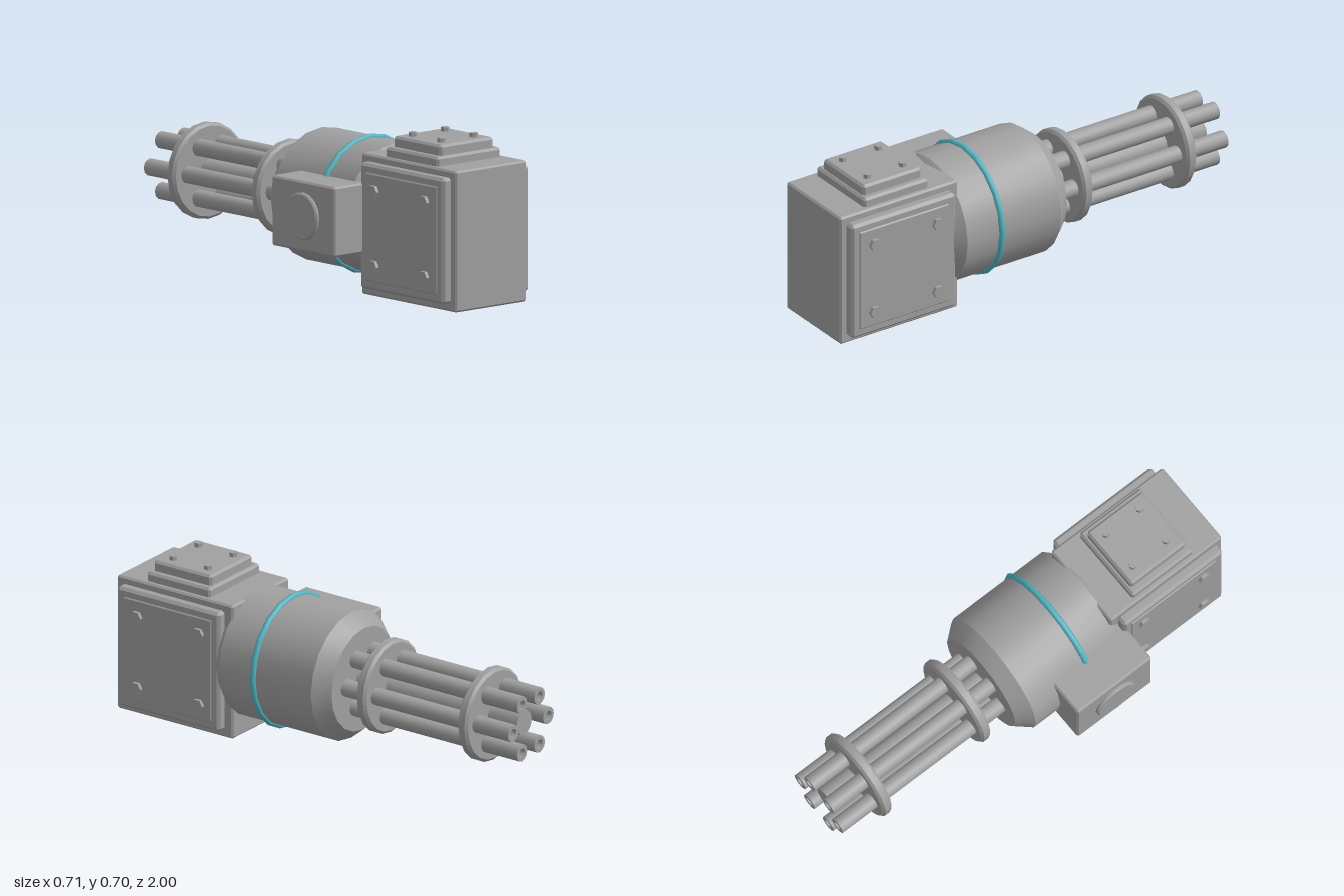
import * as THREE from 'three';
import { toCreasedNormals } from 'three/addons/utils/BufferGeometryUtils.js';
import { ConvexGeometry } from 'three/addons/geometries/ConvexGeometry.js';

const CX = 0.058, CY = 0.337; // barrel axis

// Box given by min/max corners, with every edge chamfered by c
function chamferBox(x0, x1, y0, y1, z0, z1, c) {
  const pts = [];
  for (const sx of [-1, 1]) for (const sy of [-1, 1]) for (const sz of [-1, 1]) {
    const x = sx < 0 ? x0 : x1, y = sy < 0 ? y0 : y1, z = sz < 0 ? z0 : z1;
    pts.push(
      new THREE.Vector3(x, y - sy * c, z - sz * c),
      new THREE.Vector3(x - sx * c, y, z - sz * c),
      new THREE.Vector3(x - sx * c, y - sy * c, z));
  }
  return new ConvexGeometry(pts);
}

// Solid of revolution about z from [radius, z] pairs, low z to high z
function turned(profile, sides) {
  const g = new THREE.LatheGeometry(profile.map(([r, z]) => new THREE.Vector2(r, z)), sides);
  return toCreasedNormals(g.rotateX(Math.PI / 2), 0.55);
}

export function createModel() {
  const model = new THREE.Group();
  model.name = 'rotaryGun';
  const metal = new THREE.MeshStandardMaterial({ color: 0xa0a0a0 });
  metal.name = 'grey metal';
  const teal = new THREE.MeshStandardMaterial({ color: 0x55b3c0 });
  teal.name = 'teal trim';

  const add = (name, geometry, x = 0, y = 0, z = 0, material = metal) => {
    const mesh = new THREE.Mesh(geometry, material);
    mesh.name = name;
    mesh.position.set(x, y, z);
    model.add(mesh);
    return mesh;
  };

  // Rear housing
  add('housing', chamferBox(-0.141, 0.257, 0, 0.6, 0.4, 1, 0.008));

  // Side plates with raised panels and hex bolts
  const sideBolt = new THREE.CylinderGeometry(0.0275, 0.0275, 0.03, 6);
  sideBolt.rotateZ(Math.PI / 2);
  for (const s of [-1, 1]) {
    const side = s > 0 ? 'left' : 'right';
    const slab = (a, b, m, c) => {
      const xs = [CX + s * a, CX + s * b].sort((p, q) => p - q);
      return chamferBox(xs[0], xs[1], 0.035 + m, 0.57 - m, 0.44 + m, 0.97 - m, c);
    };
    add(side + 'Plate', slab(0.19, 0.243, 0, 0.012));
    add(side + 'Panel', slab(0.225, 0.248, 0.034, 0.008));
    for (const y of [0.14, 0.46]) for (const z of [0.54, 0.86]) {
      add(side + 'Bolt', toCreasedNormals(sideBolt, 0.5), CX + s * 0.248, y, z);
    }
  }

  // Stepped top hatch
  add('hatchBase', chamferBox(-0.122, 0.236, 0.59, 0.64, 0.534, 0.862, 0.01));
  add('hatchLid', chamferBox(-0.091, 0.207, 0.63, 0.685, 0.55, 0.848, 0.01));
  const topBolt = toCreasedNormals(new THREE.CylinderGeometry(0.018, 0.018, 0.03, 6), 0.5);
  for (const x of [-0.09, 0.09]) for (const z of [-0.09, 0.09]) {
    add('hatchBolt', topBolt, CX + x, 0.688, 0.698 + z);
  }

  // Round motor body with trim ring
  add('body', turned([[0, -0.132], [0.228, -0.132], [0.283, -0.065],
    [0.283, 0.41], [0.238, 0.46], [0, 0.46]], 20), CX, CY);
  add('trimRing', new THREE.TorusGeometry(0.283, 0.014, 8, 20), CX, CY, 0.235, teal);

  // Drive box with round cap on the right side
  add('driveBox', chamferBox(-0.342, -0.12, 0.185, 0.483, 0.065, 0.46, 0.008));
  const cap = turned([[0, -0.02], [0.102, -0.02], [0.102, 0.01], [0.095, 0.017], [0, 0.017]], 16);
  add('driveCap', cap, -0.34, 0.335, 0.263).rotation.y = -Math.PI / 2;

  // Hollow barrels around a solid core
  const barrel = turned([[0, -0.94], [0.021, -0.94], [0.021, -1], [0.0375, -1], [0.0375, -0.1]], 12);
  for (let i = 0; i < 6; i++) {
    const a = i * Math.PI / 3;
    add('barrel', barrel, CX + 0.125 * Math.cos(a), CY + 0.125 * Math.sin(a));
  }
  add('core', turned([[0, -0.965], [0.055, -0.965], [0.055, -0.1]], 12), CX, CY);

  // Barrel clamp discs
  const disc = turned([[0, -0.025], [0.193, -0.025], [0.205, -0.014],
    [0.205, 0.014], [0.193, 0.025], [0, 0.025]], 20);
  for (const z of [-0.262, -0.79]) add('clampDisc', disc, CX, CY, z);

  return model;
}
